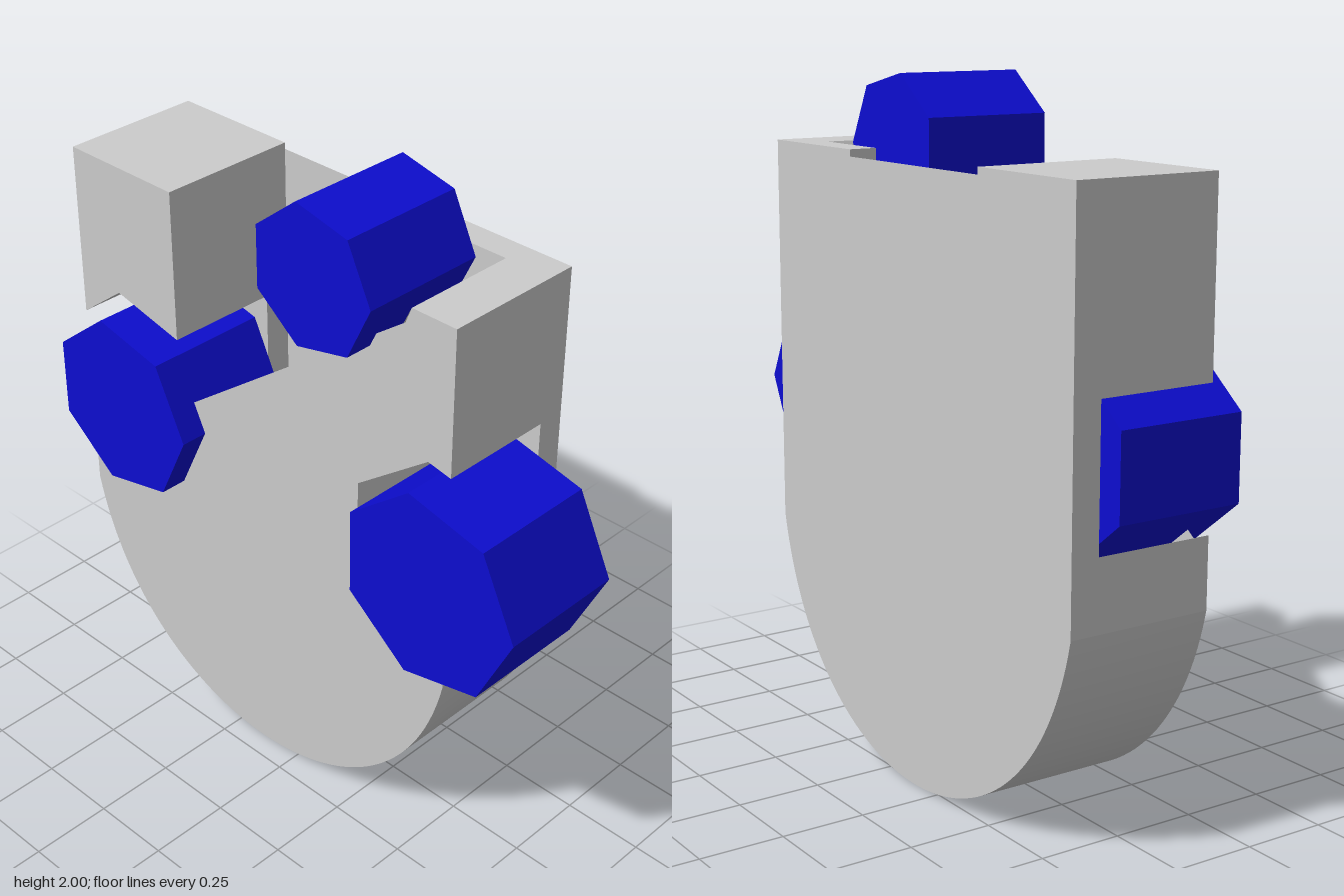
import * as THREE from 'three';

const BACK = -0.265, FLOOR = -0.18, FRONT = 0.18;
const L = -0.88, R = 0.59, TOP = 1.79;

export function createModel() {
  const model = new THREE.Group();
  const grey = new THREE.MeshStandardMaterial({ color: 0xcccccc, side: THREE.DoubleSide });
  const blue = new THREE.MeshStandardMaterial({ color: 0x0d0dd0, flatShading: true });

  function add(name, geometry, material = grey) {
    const mesh = new THREE.Mesh(geometry, material);
    mesh.name = name;
    model.add(mesh);
    return mesh;
  }

  // flat plate parallel to the front
  function plate(name, points, z) {
    const shape = new THREE.Shape(points.map(([x, y]) => new THREE.Vector2(x, y)));
    add(name, new THREE.ShapeGeometry(shape).translate(0, 0, z));
  }

  // strip that follows an outline and runs from z0 to z1
  function wall(name, points, z0, z1, smooth = false) {
    const position = [], index = [];
    points.forEach(([x, y], i) => {
      position.push(x, y, z0, x, y, z1);
      if (i) {
        const a = 2 * i - 2;
        index.push(a, a + 2, a + 1, a + 1, a + 2, a + 3);
      }
    });
    let geometry = new THREE.BufferGeometry();
    geometry.setAttribute('position', new THREE.Float32BufferAttribute(position, 3));
    geometry.setIndex(index);
    if (!smooth) geometry = geometry.toNonIndexed();
    geometry.computeVertexNormals();
    add(name, geometry);
  }

  // rounded lower edge, left to right
  const bottom = new THREE.CubicBezierCurve(
    new THREE.Vector2(L, 0.64), new THREE.Vector2(L + 0.18, -0.213),
    new THREE.Vector2(R - 0.18, -0.213), new THREE.Vector2(R, 0.64)
  ).getPoints(64).map((p) => [p.x, p.y]);

  // outlines of the pockets behind the three knobs
  const rightPocket = [[R, 0.675], [0.51, 0.66], [0.26, 0.86], [0.26, 1.17], [0.51, 1.36], [R, 1.345]];
  const leftCeiling = [[L, 1.25], [-0.716, 1.375], [-0.465, 1.318]];
  const leftSill = [[L, 0.845], [-0.716, 0.713], [-0.465, 0.77]];
  const topPocket = [[0.17, 1.536], [0.335, 1.575], [0.44, TOP]];

  // back plate, slightly lower between the two top blocks
  plate('backPlate', [...bottom, [R, TOP], [0.17, TOP], [0.17, 1.77],
    [-0.465, 1.77], [-0.465, TOP], [L, TOP]], BACK);

  // front plate with a diagonal upper edge
  plate('frontPlate', [...bottom, ...rightPocket, [R, TOP], [0.44, TOP], [0.42, 1.74],
    [-0.84, 0.81], [L, 0.845]], FRONT);
  plate('cornerBlockFront', [...leftCeiling, [-0.465, TOP], [L, TOP]], FRONT);

  // outer rim
  wall('roundedRim', bottom, BACK, FRONT, true);
  wall('leftLowerSide', [[L, 0.64], [L, 0.845]], BACK, FRONT);
  wall('leftPocketSide', [[L, 0.845], [L, 1.25]], BACK, FLOOR);
  wall('leftUpperSide', [[L, 1.25], [L, TOP]], BACK, FRONT);
  wall('rightLowerSide', [[R, 0.64], [R, 0.675]], BACK, FRONT);
  wall('rightPocketSide', [[R, 0.675], [R, 1.345]], BACK, FLOOR);
  wall('rightUpperSide', [[R, 1.345], [R, TOP]], BACK, FRONT);

  // tops and inner sides of the upper blocks
  wall('cornerBlockTop', [[L, TOP], [-0.465, TOP], [-0.465, 1.318]], BACK, FRONT);
  wall('cornerBlockInnerSide', [[-0.465, 1.318], [-0.465, 0.77]], BACK, FLOOR);
  wall('rightBlockTop', [[0.44, TOP], [R, TOP]], BACK, FRONT);
  wall('rightBlockLedge', [[0.17, 1.536], [0.17, TOP], [0.44, TOP]], BACK, FLOOR);

  // pocket walls and floors
  wall('rightPocketWall', rightPocket, FLOOR, FRONT);
  wall('leftPocketCeiling', leftCeiling, FLOOR, FRONT);
  wall('leftPocketSill', leftSill, FLOOR, FRONT);
  wall('topPocketWall', topPocket, FLOOR, FRONT);
  plate('rightPocketFloor', rightPocket, FLOOR);
  plate('leftPocketFloor', [...leftSill, ...[...leftCeiling].reverse()], FLOOR);
  plate('topPocketFloor', [...topPocket, [0.17, TOP]], FLOOR);

  // seven-sided knobs
  const knobs = [
    ['topKnob', 0.165, 1.79, 0.215],
    ['leftKnob', 0.588, 1.012, 0.305],
    ['rightKnob', -0.643, 1.044, 0.283],
  ];
  for (const [name, x, y, radius] of knobs) {
    const geometry = new THREE.CylinderGeometry(radius, radius, 0.395, 7, 1, false, Math.PI / 2);
    add(name, geometry.rotateX(Math.PI / 2), blue).position.set(x, y, 0.0675);
  }
  return model;
}
